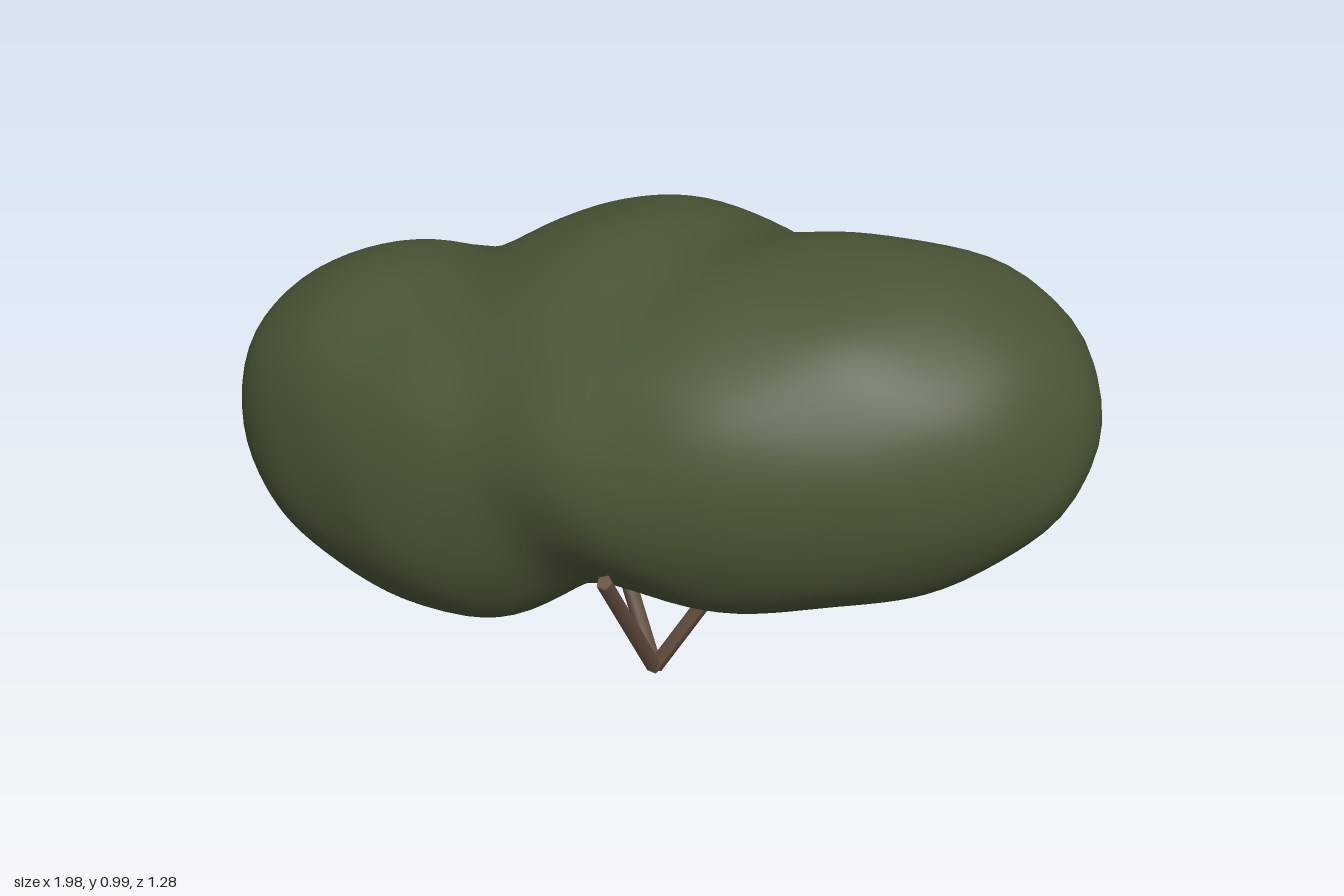
import * as THREE from 'three';
import { mergeVertices } from 'three/addons/utils/BufferGeometryUtils.js';

const leafGreen = new THREE.MeshStandardMaterial({ color: 0x4b5536 });
leafGreen.name = 'leafGreen';
const barkBrown = new THREE.MeshStandardMaterial({ color: 0x665040 });
barkBrown.name = 'barkBrown';

const FLOOR = 0.02;

// Three overlapping clumps: centre, radii, turn about y, tilt about z,
// boxiness seen from above (p) and from the side (q)
const clumps = [
  { name: 'lowClump', c: [-0.485, 0.38, -0.145], r: [0.53, 0.42, 0.39], turn: -0.785, tilt: 0, p: 2.5, q: 2.15 },
  { name: 'middleClump', c: [0, 0.555, -0.05], r: [0.55, 0.405, 0.495], turn: 0.785, tilt: 0, p: 2.1, q: 1.85 },
  { name: 'highClump', c: [0.35, 0.575, 0.205], r: [0.65, 0.415, 0.43], turn: -0.04, tilt: 0.12, p: 2.3, q: 2.05 },
].map((d) => {
  const q4 = new THREE.Quaternion().setFromEuler(new THREE.Euler(0, d.turn, d.tilt, 'ZYX'));
  return { ...d, centre: new THREE.Vector3(...d.c), inverse: q4.invert() };
});

// Scaled distance from a clump's centre: 1 on its surface
function reach(p, d) {
  const v = p.clone().sub(d.centre).applyQuaternion(d.inverse);
  const flat = Math.abs(v.x / d.r[0]) ** d.p + Math.abs(v.z / d.r[2]) ** d.p;
  return (flat ** (d.q / d.p) + Math.abs(v.y / d.r[1]) ** d.q) ** (1 / d.q);
}

// Softly blended union of all clumps with gentle lumps, cut flat at the floor
function field(p) {
  const k = 28;
  const sum = clumps.reduce((s, d) => s + Math.exp(-k * 0.42 * (reach(p, d) - 1)), 0);
  const lumps = 0.005 * Math.sin(p.x * 13) * Math.sin(p.y * 14 + 1) * Math.cos(p.z * 13);
  return Math.max(-Math.log(sum) / k + lumps, FLOOR - p.y);
}

// Outward direction of the blended surface
function slope(p) {
  const e = 0.012;
  const n = ['x', 'y', 'z'].map((axis) => {
    const a = p.clone();
    const b = p.clone();
    a[axis] += e;
    b[axis] -= e;
    return field(a) - field(b);
  });
  return new THREE.Vector3(...n).normalize();
}

// A sphere whose points move along their rays to the blended surface;
// points buried in a neighbouring clump stop inside it
function clumpGeometry(d) {
  let geo = new THREE.IcosahedronGeometry(1, 14);
  geo.deleteAttribute('normal');
  geo.deleteAttribute('uv');
  geo = mergeVertices(geo, 1e-4);
  const pos = geo.attributes.position;
  const normals = new THREE.BufferAttribute(new Float32Array(pos.count * 3), 3);
  const dir = new THREE.Vector3();
  const at = (t) => d.centre.clone().addScaledVector(dir, t);
  for (let i = 0; i < pos.count; i++) {
    dir.fromBufferAttribute(pos, i).normalize();
    const own = 1 / reach(at(1), d);
    let lo = own * 0.6;
    let hi = own * 1.22;
    for (let n = 0; n < 16; n++) {
      const mid = (lo + hi) / 2;
      if (field(at(mid)) < 0) lo = mid;
      else hi = mid;
    }
    const p = at(lo);
    const n = slope(p);
    pos.setXYZ(i, p.x, p.y, p.z);
    normals.setXYZ(i, n.x, n.y, n.z);
  }
  geo.setAttribute('normal', normals);
  return geo;
}

// A straight stem between two points
function stem(from, to, radius) {
  const a = new THREE.Vector3(...from);
  const along = new THREE.Vector3(...to).sub(a);
  const geo = new THREE.CylinderGeometry(radius, radius, along.length(), 5);
  geo.translate(0, along.length() / 2, 0);
  const mesh = new THREE.Mesh(geo, barkBrown);
  mesh.position.copy(a);
  mesh.quaternion.setFromUnitVectors(new THREE.Vector3(0, 1, 0), along.normalize());
  return mesh;
}

export function createModel() {
  const bush = new THREE.Group();
  bush.name = 'bush';

  const foliage = new THREE.Group();
  foliage.name = 'foliage';
  for (const d of clumps) {
    const mesh = new THREE.Mesh(clumpGeometry(d), leafGreen);
    mesh.name = d.name;
    foliage.add(mesh);
  }

  // Three stems fanning out evenly from one foot
  const stems = new THREE.Group();
  stems.name = 'stems';
  for (let i = 0; i < 3; i++) {
    const angle = (i * 2 * Math.PI) / 3;
    const top = [-0.015 + 0.24 * Math.cos(angle), 0.39, 0.345 + 0.235 * Math.sin(angle)];
    const mesh = stem([-0.015, 0.01, 0.345], top, 0.019);
    mesh.name = 'stem' + (i + 1);
    stems.add(mesh);
  }

  bush.add(foliage, stems);
  return bush;
}
